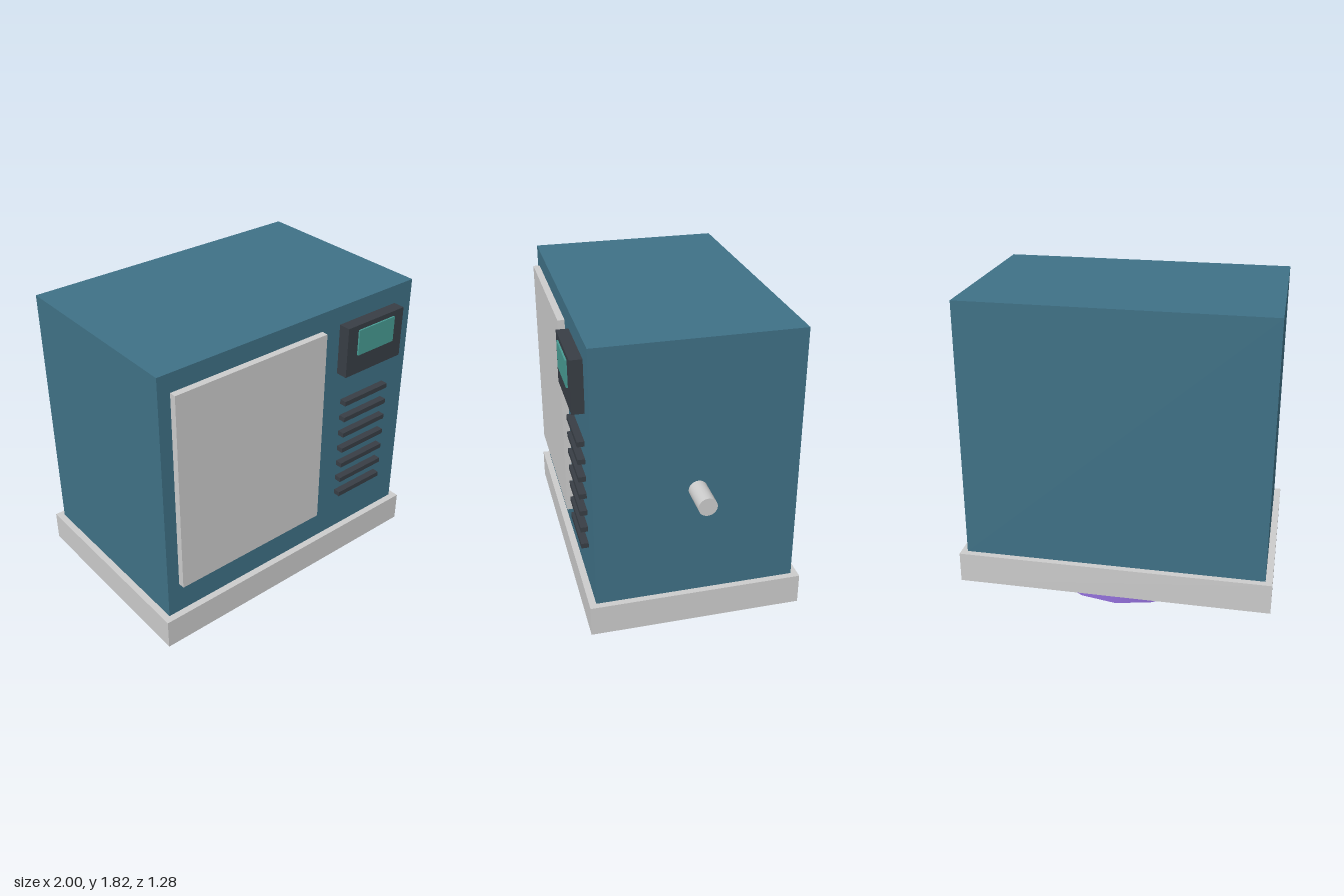
import * as THREE from 'three';

const mat = (color) => new THREE.MeshStandardMaterial({ color });

export function createModel() {
  const model = new THREE.Group();
  const grey = mat(0xcccccc);
  const teal = mat(0x3f7186);
  const dark = mat(0x383e45);
  const mint = mat(0x479a92);
  const purple = mat(0x9370db);

  const add = (name, geometry, material, x, y, z, parent = model) => {
    const mesh = new THREE.Mesh(geometry, material);
    mesh.name = name;
    mesh.position.set(x, y, z);
    parent.add(mesh);
    return mesh;
  };
  // Box given by its lower and upper limits on each axis
  const box = (name, material, [x0, x1], [y0, y1], [z0, z1], parent) =>
    add(name, new THREE.BoxGeometry(x1 - x0, y1 - y0, z1 - z0), material,
      (x0 + x1) / 2, (y0 + y1) / 2, (z0 + z1) / 2, parent);

  // Cabinet on its plinth
  box('base', grey, [-1, 0.85], [0.097, 0.28], [-0.64, 0.6]);
  box('cabinet', teal, [-0.96, 0.812], [0.28, 1.825], [-0.6, 0.56]);

  // Front panel, display and vents
  box('door', grey, [-0.885, 0.118], [0.48, 1.715], [0.56, 0.6]);
  box('displayHousing', dark, [0.25, 0.68], [1.41, 1.715], [0.56, 0.63]);
  box('screen', mint, [0.327, 0.603], [1.53, 1.685], [0.63, 0.64]);
  const vents = new THREE.Group();
  vents.name = 'vents';
  model.add(vents);
  for (let i = 0; i < 7; i++) {
    const y = 0.556 + i * 0.1083;
    box('ventSlat', dark, [0.293, 0.633], [y - 0.015, y + 0.015], [0.56, 0.602], vents);
  }

  // Side shaft
  add('sideShaft', new THREE.CylinderGeometry(0.053, 0.053, 0.19, 24), grey,
    0.905, 0.945, -0.02).rotation.z = Math.PI / 2;

  // Turntable foot with four flat tabs around its rim
  const foot = new THREE.Group();
  foot.name = 'turntableFoot';
  foot.position.set(-0.075, 0, -0.02);
  model.add(foot);
  add('footDisc', new THREE.CylinderGeometry(0.54, 0.54, 0.1, 16), purple, 0, 0.05, 0, foot);
  for (let i = 0; i < 4; i++) {
    const a = (i * Math.PI) / 2;
    add('footTab', new THREE.BoxGeometry(0.18, 0.05, 0.1), purple,
      Math.sin(a) * 0.482, 0.075, Math.cos(a) * 0.482, foot).rotation.y = a;
  }

  return model;
}
